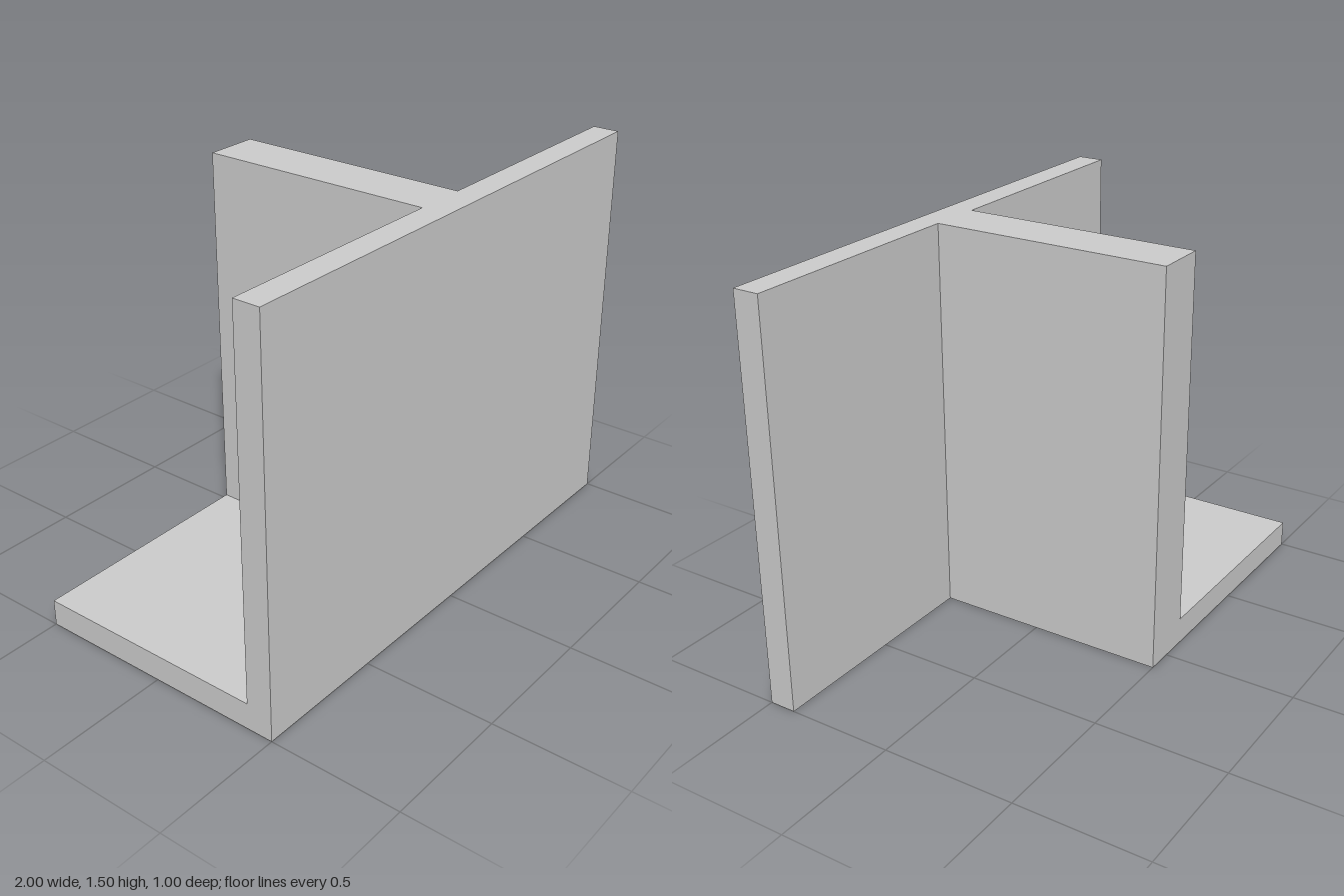
import * as THREE from 'three';

const material = new THREE.MeshStandardMaterial({ color: 0xcccccc });

// Box given by its minimum and maximum corners
function slab(name, [x0, y0, z0], [x1, y1, z1]) {
  const geometry = new THREE.BoxGeometry(x1 - x0, y1 - y0, z1 - z0);
  const mesh = new THREE.Mesh(geometry, material);
  mesh.position.set((x0 + x1) / 2, (y0 + y1) / 2, (z0 + z1) / 2);
  mesh.name = name;
  return mesh;
}

export function createModel() {
  const group = new THREE.Group();
  group.name = 'wallCorner';
  group.add(
    // Wide front panel
    slab('frontWall', [-1, 0, 0.4], [1, 1.5, 0.5]),
    // Thick wall running back from its middle
    slab('dividingWall', [-0.1, 0, -0.5], [0.1, 1.5, 0.4]),
    // Floor on the right side only
    slab('floor', [-1, 0, -0.5], [-0.1, 0.1, 0.4]),
  );
  return group;
}
